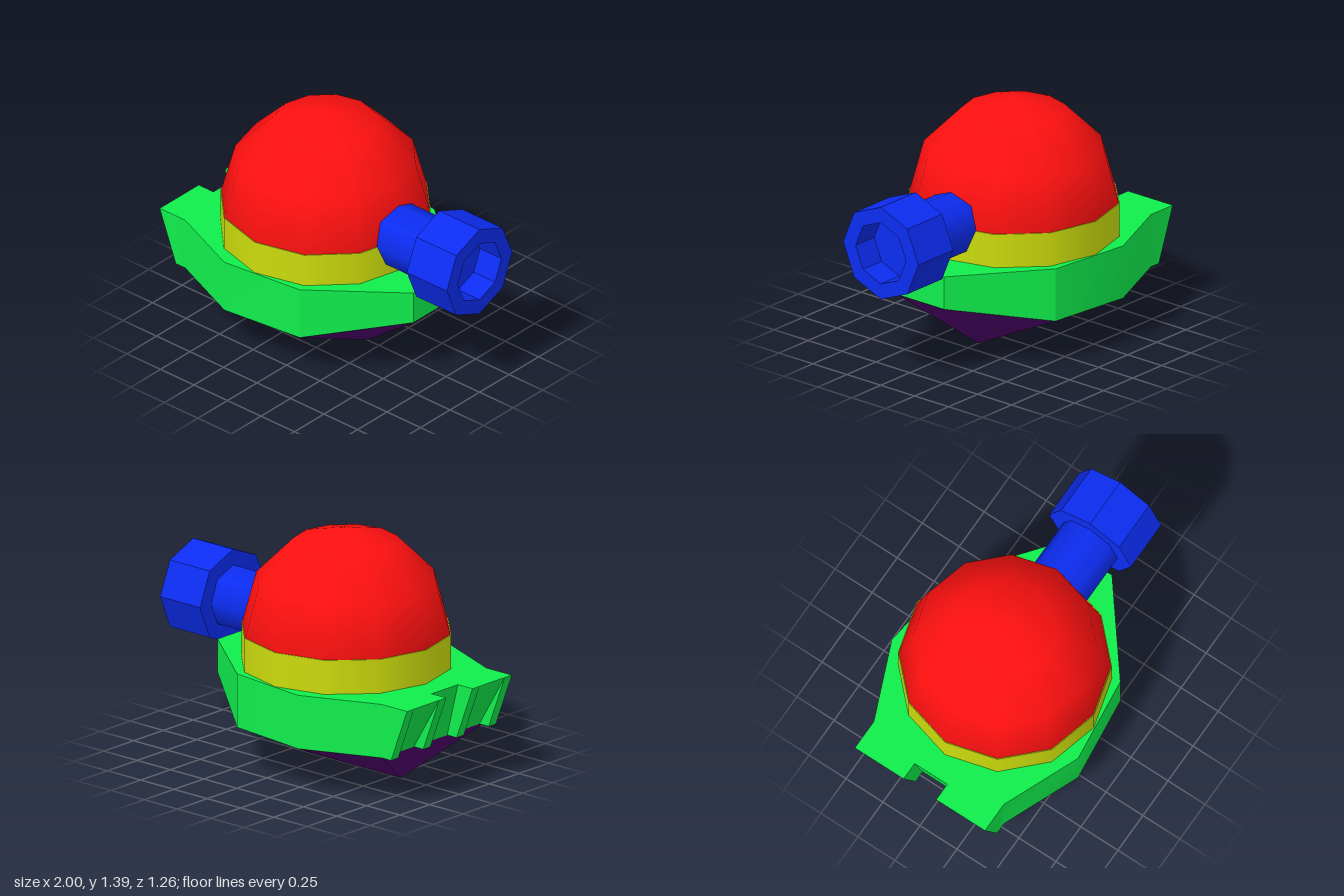
import * as THREE from 'three';
import { toCreasedNormals } from 'three/addons/utils/BufferGeometryUtils.js';

const paint = (color, flatShading = false) => new THREE.MeshStandardMaterial({ color, flatShading });

function part(name, geometry, material, x = 0, y = 0) {
  const mesh = new THREE.Mesh(geometry, material);
  mesh.name = name;
  mesh.position.set(x, y, 0);
  return mesh;
}

// Skin between two rings of [x, y, z] points (counterclockwise from above), optionally capped
function loft(top, bottom, capped) {
  const pos = [];
  const tri = (...pts) => {
    const [a, b, c] = pts.map((p) => new THREE.Vector3(...p));
    if (new THREE.Triangle(a, b, c).getArea() > 1e-6) pos.push(...pts.flat());
  };
  top.forEach((t, i) => {
    const j = (i + 1) % top.length;
    tri(bottom[i], bottom[j], top[j]);
    tri(bottom[i], top[j], t);
  });
  if (capped) {
    const cap = (ring, up) => {
      const flat = ring.map(([x, , z]) => new THREE.Vector2(x, -z));
      for (const [a, b, c] of THREE.ShapeUtils.triangulateShape(flat, [])) {
        if (up) tri(ring[a], ring[b], ring[c]);
        else tri(ring[a], ring[c], ring[b]);
      }
    };
    // drop repeated corners before filling
    const clean = (ring) => ring.filter((p, i) => p.join() !== ring[(i + 1) % ring.length].join());
    cap(clean(top), true);
    cap(clean(bottom), false);
  }
  const g = new THREE.BufferGeometry();
  g.setAttribute('position', new THREE.Float32BufferAttribute(pos, 3));
  return toCreasedNormals(g, 0.55);
}

// Complete a half ring (z < 0, bow to stern) with its mirror image
const mirrorRing = (half) => [...half, ...half.map(([x, y, z]) => [x, y, -z]).reverse()];

export function createModel() {
  const model = new THREE.Group();

  // Half outline of the hull: [top x, bottom x, z, bottom y]
  const side = [
    [0.66, 0.66, -0.175, 0.4],
    [0.16, 0.16, -0.57, 0.28],
    [-0.35, -0.35, -0.63, 0.28],
    [-0.81, -0.81, -0.44, 0.28],
  ];
  // Stern teeth with sloping recesses and a central notch
  const stern = [
    [-1, -0.88, -0.44, 0.28],
    [-1, -0.88, -0.38, 0.28],
    [-1, -0.81, -0.38, 0.28],
    [-1, -0.81, -0.17, 0.28],
    [-1, -0.88, -0.17, 0.28],
    [-1, -0.88, -0.11, 0.28],
    [-0.89, -0.81, -0.11, 0.28],
  ];
  const half = [...side, ...stern];
  const hullTop = mirrorRing(half.map(([x, , z]) => [x, 0.595, z]));
  const hullBottom = mirrorRing(half.map(([, x, z, y]) => [x, y, z]));
  model.add(part('hull', loft(hullTop, hullBottom, true), paint(0x10ee4c)));

  // V-shaped keel running down to a single ridge
  const keelTop = mirrorRing(side.map(([, x, z, y]) => [x, y, z]));
  const keelRidge = mirrorRing([0.16, 0.16, -0.56, -0.56].map((x) => [x, 0, 0]));
  model.add(part('keel', loft(keelTop, keelRidge, false), paint(0x520070)));

  // Turret: collar and dome
  model.add(part('collar', new THREE.CylinderGeometry(0.6, 0.6, 0.2, 12), paint(0xcbdc0c), -0.15, 0.695));
  const dome = new THREE.SphereGeometry(0.595, 12, 3, 0, Math.PI * 2, 0, Math.PI / 2);
  model.add(part('dome', dome, paint(0xff1010), -0.15, 0.795));

  // Gun along +x: smooth barrel and hollow faceted muzzle
  const blue = 0x0c2cf0;
  const barrel = new THREE.CylinderGeometry(0.185, 0.185, 0.52, 8).rotateZ(-Math.PI / 2);
  model.add(part('barrel', barrel, paint(blue), 0.46, 0.795));
  const profile = [[0, 0.7], [0.277, 0.7], [0.277, 1], [0.185, 1], [0.185, 0.84], [0, 0.84]];
  const muzzle = new THREE.LatheGeometry(profile.map(([r, h]) => new THREE.Vector2(r, h)), 8);
  model.add(part('muzzle', muzzle.rotateZ(-Math.PI / 2), paint(blue, true), 0, 0.795));

  return model;
}
